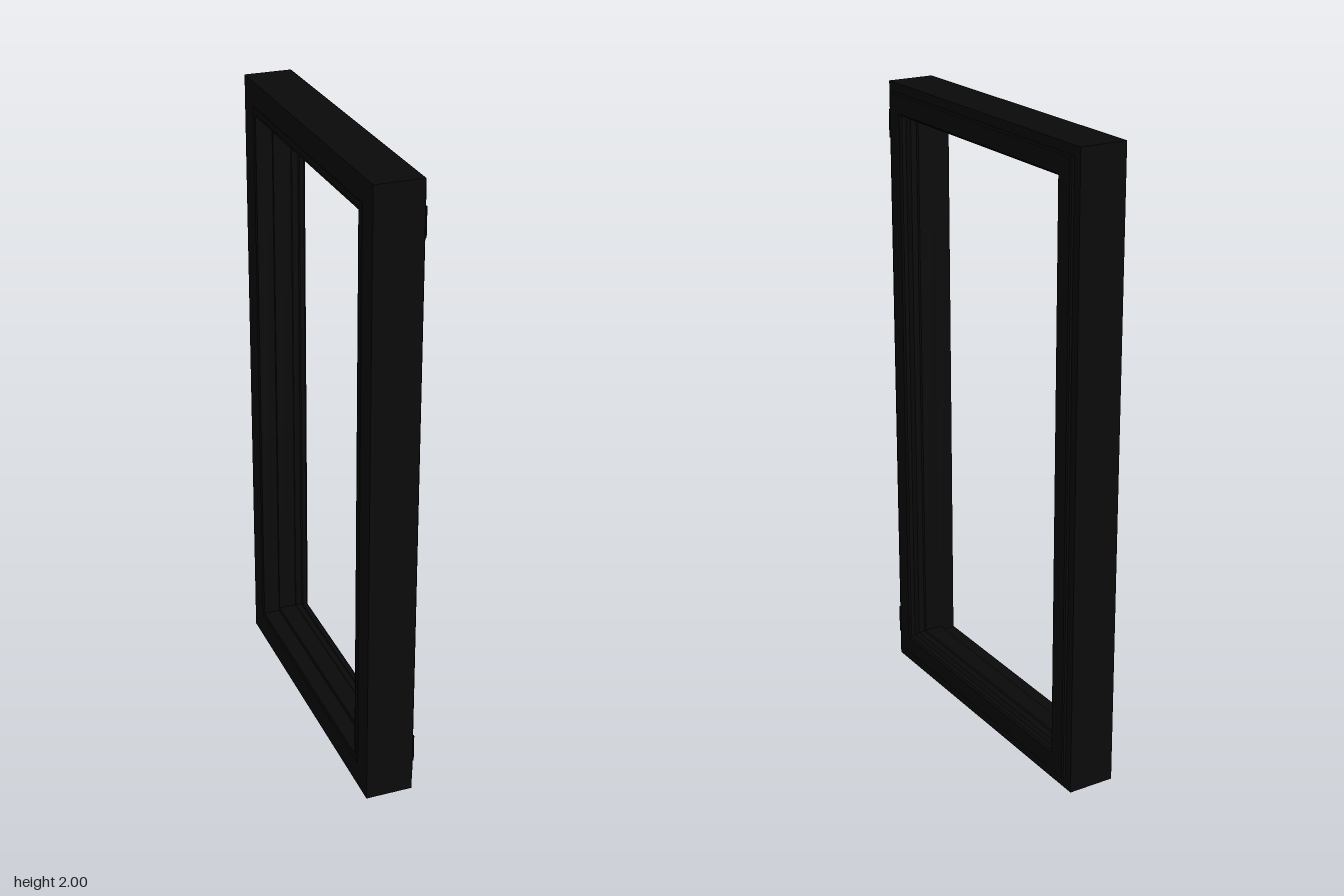
import * as THREE from 'three';

const black = new THREE.MeshStandardMaterial({ color: 0x0a0a0a, flatShading: true });

// Sweeps a closed [inset, x] profile around a mitred rectangle in the z-y plane.
function mitredRing(name, profile, halfZ, halfY, centreZ = 0, centreY = 1) {
  const corners = [[1, -1], [1, 1], [-1, 1], [-1, -1]];
  const at = ([inset, x], [sz, sy]) =>
    [x, centreY + sy * (halfY - inset), centreZ + sz * (halfZ - inset)];
  const positions = [];
  corners.forEach((c0, k) => {
    const c1 = corners[(k + 1) % 4];
    profile.forEach((p, i) => {
      const q = profile[(i + 1) % profile.length];
      const [a, b, c, d] = [at(p, c0), at(q, c0), at(q, c1), at(p, c1)];
      positions.push(...a, ...b, ...c, ...a, ...c, ...d);
    });
  });
  const geometry = new THREE.BufferGeometry();
  geometry.setAttribute('position', new THREE.Float32BufferAttribute(positions, 3));
  geometry.computeVertexNormals();
  const mesh = new THREE.Mesh(geometry, black);
  mesh.name = name;
  return mesh;
}

export function createModel() {
  const group = new THREE.Group();
  group.name = 'windowFrame';

  // Fixed outer frame, rebated on the +x side to take the sash
  group.add(mitredRing('outerFrame', [
    [0, -0.083], [0, 0.068], [0.05, 0.068], [0.05, -0.03], [0.104, -0.03], [0.104, -0.083],
  ], 0.53, 1));

  // Opening sash: lip over the frame, then stepped and sloped towards the opening
  group.add(mitredRing('sash', [
    [0.026, -0.032], [0.026, 0.066], [0, 0.066], [0, 0.076], [0.004, 0.08], [0.06, 0.08],
    [0.066, 0.074], [0.066, 0.06], [0.078, 0.05], [0.078, 0.03], [0.083, 0.026], [0.083, -0.032],
  ], 0.505, 0.9675, 0.004, 1.004));

  // Thin sealing bead on the inner side
  group.add(mitredRing('innerBead', [
    [0, -0.085], [0, -0.08], [0.02, -0.08], [0.02, -0.085],
  ], 0.45, 0.92, 0.004, 1.004));

  // Small hinge knuckles beside the sash
  for (const y of [0.14, 1.87]) {
    const hinge = new THREE.Mesh(new THREE.CylinderGeometry(0.006, 0.006, 0.09, 10), black);
    hinge.name = 'hinge';
    hinge.position.set(0.074, y, 0.513);
    group.add(hinge);
  }
  return group;
}
